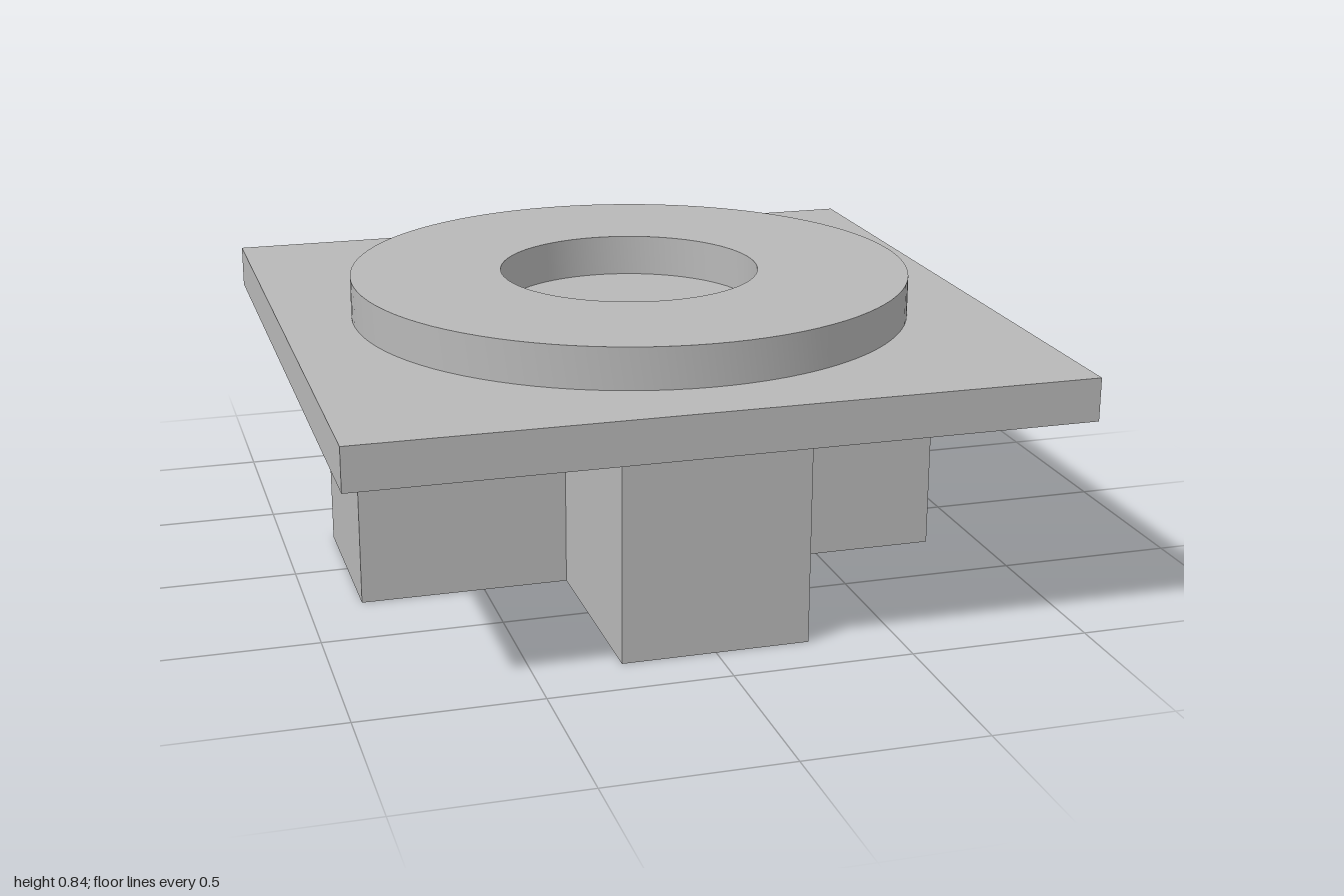
import * as THREE from 'three';
import { toCreasedNormals } from 'three/addons/utils/BufferGeometryUtils.js';

const PLATE_Y = 0.605, RING_Y = 0.725, TOP_Y = 0.842;

// Extrudes a plan shape upwards from y0 to y1
function extrudeUp(shape, y0, y1) {
  const geo = new THREE.ExtrudeGeometry(shape, { depth: y1 - y0, bevelEnabled: false, curveSegments: 48 });
  geo.rotateX(-Math.PI / 2).translate(0, y0, 0);
  return toCreasedNormals(geo, Math.PI / 6);
}

export function createModel() {
  const group = new THREE.Group();
  const grey = new THREE.MeshStandardMaterial({ color: 0xb8b8b8 });
  grey.name = 'grey';

  const add = (name, geometry) => {
    const mesh = new THREE.Mesh(geometry, grey);
    mesh.name = name;
    group.add(mesh);
    return mesh;
  };

  // Cross-shaped stem: one arm end and inner corner, turned four times
  const a = 0.26, b = 0.85;
  const points = [];
  for (let i = 0; i < 4; i++) {
    for (const [x, y] of [[b, -a], [b, a], [a, a]]) {
      points.push(new THREE.Vector2(x, y).rotateAround(new THREE.Vector2(), i * Math.PI / 2));
    }
  }
  add('crossStem', extrudeUp(new THREE.Shape(points), 0, PLATE_Y));

  // Square plate
  const plate = add('squarePlate', new THREE.BoxGeometry(2, RING_Y - PLATE_Y, 2));
  plate.position.y = (PLATE_Y + RING_Y) / 2;

  // Raised ring with a round recess down to the plate
  const ring = new THREE.Shape().absarc(0, 0, 0.8, 0, Math.PI * 2, false);
  ring.holes.push(new THREE.Path().absarc(0, 0, 0.37, 0, Math.PI * 2, true));
  add('raisedRing', extrudeUp(ring, RING_Y, TOP_Y));

  return group;
}
